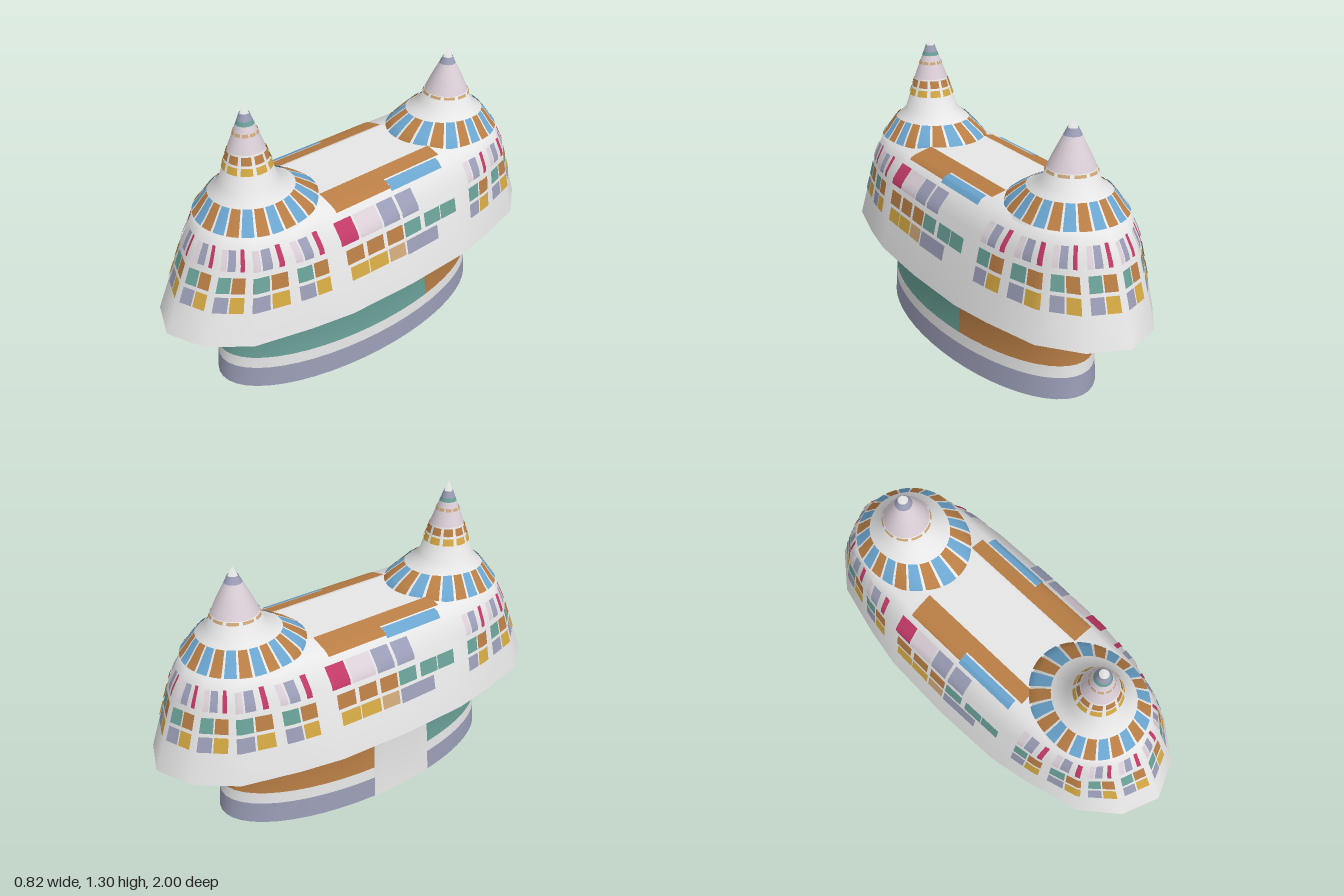
import * as THREE from 'three';
import { mergeVertices } from 'three/addons/utils/BufferGeometryUtils.js';

const paint = (name, color) => {
  const m = new THREE.MeshStandardMaterial({ color, side: THREE.DoubleSide });
  m.name = name;
  return m;
};
const white = paint('white', 0xe6e6e6);
const teal = paint('teal', 0x6aa198);
const orange = paint('orange', 0xb97e45);
const lavender = paint('lavender', 0x9a9db6);
const yellow = paint('yellow', 0xd4a843);
const blue = paint('blue', 0x6ba6d0);
const red = paint('red', 0xc23a67);
const pink = paint('palePink', 0xdbcfd8);
const tan = paint('tan', 0xcda678);

const span = (a, b, n) => Array.from({ length: n + 1 }, (_, i) => a + (b - a) * i / n);
const lerp = THREE.MathUtils.lerp;

// Linear lookup in rows of [y, ...values]
function atHeight(rows, y) {
  let i = 0;
  while (i < rows.length - 2 && y > rows[i + 1][0]) i++;
  const a = rows[i], b = rows[i + 1], t = (y - a[0]) / (b[0] - a[0]);
  return a.slice(1).map((v, k) => lerp(v, b[k + 1], t));
}

// Surface piece over fn(u, y), optionally lifted along its normal
function patch(name, mat, fn, us, ys, lift = 0) {
  const pos = [], idx = [], n = us.length, e = 0.001;
  for (const y of ys) for (const u of us) {
    const p = fn(u, y);
    if (lift) {
      const du = fn(u + e, y).sub(fn(u - e, y)), dy = fn(u, y + e).sub(fn(u, y - e));
      p.addScaledVector(du.cross(dy).normalize(), lift);
    }
    pos.push(p.x, p.y, p.z);
  }
  for (let j = 0; j < ys.length - 1; j++) for (let i = 0; i < n - 1; i++) {
    const a = j * n + i, b = a + 1, c = a + n, d = c + 1;
    idx.push(a, b, d, a, d, c);
  }
  let g = new THREE.BufferGeometry();
  g.setAttribute('position', new THREE.Float32BufferAttribute(pos, 3));
  g.setIndex(idx);
  g = mergeVertices(g, 1e-5);
  g.computeVertexNormals();
  const mesh = new THREE.Mesh(g, mat);
  mesh.name = name;
  return mesh;
}
const tile = (name, mat, fn, u0, u1, y0, y1, lift = 0.005) =>
  patch(name, mat, fn, span(u0, u1, 4), span(y0, y1, 4), lift);

// Oval wall: u is the angle from +z towards +x
const wallRows = [[0, 0.317, 0.728], [0.28, 0.3, 0.708], [0.38, 0.327, 0.76]];
function wallPoint(a, y) {
  const [rx, rz] = atHeight(wallRows, y);
  return new THREE.Vector3(0.01 + rx * Math.sin(a), y, 0.027 + rz * Math.cos(a));
}

// Roof rings: quarter outlines from the front tip to the side, as x, z
const roofYs = [0.38, 0.715, 0.815, 0.84];
const roofRings = [
  [[0, 1], [0.17, 0.93], [0.3, 0.77], [0.365, 0.52], [0.4, 0.33], [0.412, 0]],
  [[0, 0.85], [0.14, 0.8], [0.24, 0.7], [0.3, 0.52], [0.325, 0.33], [0.33, 0]],
  [[0, 0.79], [0.11, 0.76], [0.2, 0.68], [0.235, 0.53], [0.24, 0.33], [0.24, 0]],
  [[0, 0.7], [0.08, 0.67], [0.13, 0.6], [0.14, 0.5], [0.14, 0.33], [0.14, 0]],
];
function ringVertex(r, i) {
  i = ((i % 20) + 20) % 20;
  const k = i % 10 > 5 ? 10 - (i % 10) : i % 10;
  const [x, z] = roofRings[r][k];
  const isBack = i > 5 && i < 15;
  const stretch = isBack && r > 0 && z > 0.5 ? 1.04 : 1;
  return [i > 10 ? -x : x, isBack ? -z * stretch : z];
}
function roofPoint(u, y) {
  const i = Math.floor(u), t = u - i;
  const rows = roofYs.map((h, r) => {
    const a = ringVertex(r, i), b = ringVertex(r, i + 1);
    return [h, lerp(a[0], b[0], t), lerp(a[1], b[1], t)];
  });
  const [x, z] = atHeight(rows, y);
  return new THREE.Vector3(x, y, z);
}
function flatCap(name, r, y, up) {
  const pts = span(0, 19, 19).map(i => new THREE.Vector2(...ringVertex(r, Math.round(i))));
  if (up) pts.forEach(p => { p.y *= -1; });
  const g = new THREE.ShapeGeometry(new THREE.Shape(pts));
  g.rotateX(up ? -Math.PI / 2 : Math.PI / 2).translate(0, y, 0);
  const mesh = new THREE.Mesh(g, white);
  mesh.name = name;
  return mesh;
}

// Spire surface: rows of y, radius and flare towards the roof ridge
function spire(cz, top) {
  const h = y => 0.905 + (y - 0.905) * (top - 0.905) / 0.395;
  const rows = [[0.81, 0.245, 0.06], [0.845, 0.215, 0.085], [0.905, 0.172, 0.03],
    [h(0.95), 0.125, 0], [h(1.1), 0.075, 0], [top, 0, 0]];
  const point = (a, y) => {
    const [r, f] = atHeight(rows, y);
    const inward = Math.max(0, -Math.cos(a) * Math.sign(cz));
    const rad = r + f * inward ** 2;
    return new THREE.Vector3(rad * Math.sin(a), y, cz + rad * Math.cos(a));
  };
  return { point, ys: rows.map(r => r[0]) };
}

export function createModel() {
  const model = new THREE.Group();
  const TAU = Math.PI * 2;

  // Wall: bands with one plain gap on the -x side
  const wall = new THREE.Group();
  wall.name = 'wall';
  const gap0 = -1.72 + TAU, gap1 = -1.27 + TAU, split = 1.89, start = gap1 - TAU;
  const wallPart = (name, mat, a0, a1, ys) =>
    wall.add(patch(name, mat, wallPoint, span(a0, a1, Math.ceil((a1 - a0) * 8)), ys));
  wallPart('plinthBand', lavender, start, gap0, [0, 0.1]);
  wallPart('whiteBand', white, start, gap0, [0.1, 0.155]);
  wallPart('frontPanel', teal, start, split, [0.155, 0.28, 0.36]);
  wallPart('backPanel', orange, split, gap0, [0.155, 0.28, 0.36]);
  wallPart('topBand', white, start, gap0, [0.36, 0.38]);
  wallPart('plainGap', white, gap0, gap1, [0, 0.28, 0.38]);
  model.add(wall);

  // Roof shell
  model.add(patch('roof', white, roofPoint, span(0, 20, 20), roofYs));
  model.add(flatCap('roofTop', 3, 0.84, true));
  model.add(flatCap('roofUnderside', 0, 0.38, false));

  // Painted roof blocks, repeated with a half turn
  const blocks = new THREE.Group();
  blocks.name = 'roofBlocks';
  const add = (name, mat, u0, u1, y0, y1) => blocks.add(tile(name, mat, roofPoint, u0, u1, y0, y1));
  for (const turn of [0, 10]) {
    for (let i = 0; i < 8; i++) {
      const u = turn + (i - 3.5) * 0.92;
      add('lowerBlock', lavender, u - 0.36, u - 0.02, 0.52, 0.585);
      add('lowerBlock', yellow, u + 0.02, u + 0.36, 0.52, 0.585);
      add('middleBlock', teal, u - 0.36, u - 0.02, 0.6, 0.665);
      add('middleBlock', orange, u + 0.02, u + 0.36, 0.6, 0.665);
      add('upperBlock', pink, u - 0.36, u - 0.2, 0.69, 0.77);
      add('upperBlock', lavender, u - 0.16, u + 0.06, 0.69, 0.77);
      add('upperStripe', red, u + 0.2, u + 0.32, 0.69, 0.775);
    }
    // Long side blocks, placed by z
    const side = (name, mat, z0, z1, y0, y1) =>
      add(name, mat, turn + 5 - z0 / 0.33, turn + 5 - z1 / 0.33, y0, y1);
    side('sideBlock', yellow, 0.31, 0.215, 0.525, 0.585);
    side('sideBlock', yellow, 0.21, 0.11, 0.525, 0.585);
    side('sideBlock', tan, 0.1, 0.01, 0.525, 0.585);
    side('sideBlock', lavender, 0, -0.19, 0.52, 0.585);
    for (const z of [0.32, 0.21, 0.1]) side('sideBlock', orange, z, z - 0.09, 0.6, 0.665);
    for (const z of [0, -0.12, -0.22]) side('sideBlock', teal, z, z - 0.095, 0.6, 0.665);
    side('sideBlock', red, 0.34, 0.245, 0.69, 0.775);
    side('sideBlock', pink, 0.235, 0.115, 0.69, 0.775);
    side('sideBlock', lavender, 0.105, 0.015, 0.69, 0.775);
    side('sideBlock', lavender, 0, -0.095, 0.69, 0.775);
    side('ridgePanel', orange, 0.3, 0, 0.8, 0.839);
    side('ridgePanel', orange, 0, -0.33, 0.822, 0.839);
    side('ridgeEdge', blue, 0, -0.3, 0.79, 0.82);
  }
  model.add(blocks);

  // Two spires with striped collars and dashed rings
  for (const [name, cz, top] of [['frontSpire', 0.55, 1.3], ['backSpire', -0.58, 1.2]]) {
    const g = new THREE.Group(), { point, ys } = spire(cz, top), isFront = cz > 0;
    g.name = name;
    g.add(patch('cone', white, point, span(0, TAU, 24), ys));
    for (let i = 0; i < 24; i++) {
      const a = (i + 0.5) * TAU / 24;
      g.add(tile('collarStripe', i % 2 ? blue : orange, point, a - 0.108, a + 0.108, 0.82, 0.908));
    }
    const dashes = isFront
      ? [[yellow, 1.02, 1.05], [orange, 1.06, 1.093], [tan, 1.165, 1.178]]
      : [[tan, 0.985, 0.997]];
    for (const [mat, y0, y1] of dashes) for (let i = 0; i < 10; i++) {
      const a = (i + 0.5) * TAU / 10;
      g.add(tile('dash', mat, point, a - 0.24, a + 0.24, y0, y1));
    }
    const rings = isFront
      ? [[pink, 1.1, 1.205], [teal, 1.205, 1.222], [lavender, 1.222, 1.252]]
      : [[pink, 1.0, 1.13], [lavender, 1.13, 1.16]];
    for (const [mat, y0, y1] of rings) {
      const mid = ys.filter(y => y > y0 + 0.001 && y < y1 - 0.001);
      g.add(patch('ring', mat, point, span(0, TAU, 24), [y0, ...mid, y1], 0.003));
    }
    model.add(g);
  }
  return model;
}
